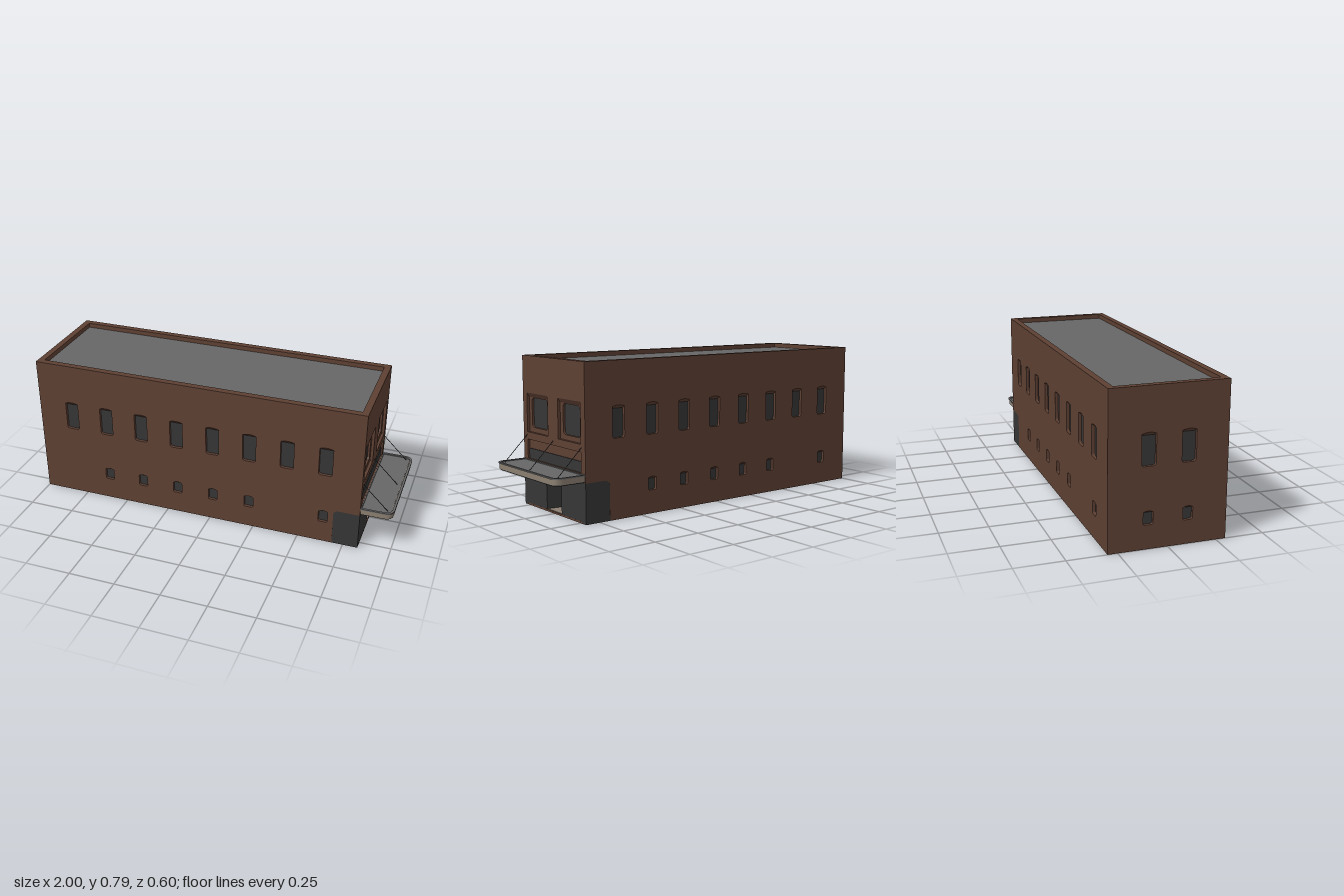
import * as THREE from 'three';

const mat = (name, color, side = THREE.DoubleSide) => {
  const m = new THREE.MeshStandardMaterial({ color, side });
  m.name = name;
  return m;
};

export function createModel() {
  const brick = mat('brick', 0x5e4033);
  const dark = mat('dark glass', 0x363636);
  const grey = mat('roof grey', 0x666666);
  const stone = mat('pale stone', 0x8a7e70);
  const model = new THREE.Group();
  model.name = 'brickHall';
  const THICK = 0.035;

  const add = (parent, name, geo, material, x = 0, y = 0, z = 0) => {
    const m = new THREE.Mesh(geo, material);
    m.name = name;
    m.position.set(x, y, z);
    parent.add(m);
    return m;
  };
  // box given by its lower and upper corners
  const box = (name, material, [x0, y0, z0], [x1, y1, z1], parent = model) =>
    add(parent, name, new THREE.BoxGeometry(x1 - x0, y1 - y0, z1 - z0), material,
      (x0 + x1) / 2, (y0 + y1) / 2, (z0 + z1) / 2);
  const extrude = (shape, depth) =>
    new THREE.ExtrudeGeometry(shape, { depth, bevelEnabled: false, curveSegments: 8 });

  const rect = (x0, y0, x1, y1) => new THREE.Shape([
    new THREE.Vector2(x0, y0), new THREE.Vector2(x1, y0),
    new THREE.Vector2(x1, y1), new THREE.Vector2(x0, y1)]);
  const rounded = (x0, y0, x1, y1, r) => {
    const s = new THREE.Shape();
    s.moveTo(x0 + r, y0).lineTo(x1 - r, y0).quadraticCurveTo(x1, y0, x1, y0 + r);
    s.lineTo(x1, y1 - r).quadraticCurveTo(x1, y1, x1 - r, y1);
    s.lineTo(x0 + r, y1).quadraticCurveTo(x0, y1, x0, y1 - r);
    s.lineTo(x0, y0 + r).quadraticCurveTo(x0, y0, x0 + r, y0);
    return s;
  };
  // window opening with a shallow arch and softened lower corners
  const arched = ({ u, w, y0, y1 }) => {
    const a = u - w / 2, b = u + w / 2, r = w * 0.2, s = new THREE.Shape();
    s.moveTo(a + r, y0).lineTo(b - r, y0).quadraticCurveTo(b, y0, b, y0 + r);
    s.lineTo(b, y1 - 0.007).quadraticCurveTo(u, y1 + 0.007, a, y1 - 0.007);
    s.lineTo(a, y0 + r).quadraticCurveTo(a, y0, a + r, y0);
    return s;
  };
  // sloping underside of the arch, from the wall face back to the glass
  const soffit = ({ u, w, y1 }, drop, depth) => {
    const g = new THREE.PlaneGeometry(w, 1, 8, 1), p = g.attributes.position;
    for (let i = 0; i < p.count; i++) {
      const t = p.getX(i) / (w / 2), outer = p.getY(i) > 0;
      p.setXYZ(i, u + p.getX(i), outer ? y1 - 0.007 * t * t : y1 - drop, outer ? 0 : -depth);
    }
    g.computeVertexNormals();
    return g;
  };
  // wall built in its own plane with the outside at local z = 0
  const wall = (name, outline, windows, angle, x, z) => {
    const g = new THREE.Group();
    g.name = name;
    windows.forEach(w => outline.holes.push(arched(w)));
    add(g, name + 'Brickwork', extrude(outline, THICK), brick, 0, 0, -THICK);
    for (const w of windows) {
      add(g, 'windowGlass', new THREE.ShapeGeometry(arched(w)), dark, 0, 0, -0.016);
      add(g, 'windowSoffit', soffit(w, w.w * 0.24, 0.0155), brick);
    }
    g.rotation.y = angle;
    g.position.set(x, 0, z);
    model.add(g);
    return g;
  };
  const tall = u => ({ u, w: 0.072, y0: 0.41, y1: 0.573 });
  const small = u => ({ u, w: 0.05, y0: 0.122, y1: 0.192 });

  // long walls, notched at the shopfront corner (d mirrors the outline)
  const longOutline = d => {
    const s = new THREE.Shape();
    s.moveTo(-d, 0).lineTo(0.69 * d, 0).lineTo(0.69 * d, 0.175);
    s.quadraticCurveTo(0.69 * d, 0.205, 0.72 * d, 0.205);
    s.lineTo(0.83 * d, 0.205).lineTo(0.83 * d, 0.793).lineTo(-d, 0.793).lineTo(-d, 0);
    return s;
  };
  const bays = Array.from({ length: 8 }, (_, i) => -0.805 + i * 0.2057);
  const longWindows = (d, skip) => [
    ...bays.map(x => tall(x * d)),
    ...bays.filter((_, i) => !skip.includes(i)).map(x => small(x * d))];
  wall('frontWall', longOutline(1), longWindows(1, [0, 6]), 0, 0, 0.3);
  wall('backWall', longOutline(-1), longWindows(-1, [1, 7]), Math.PI, 0, -0.3);

  // plain end wall
  wall('rightEndWall', rect(-0.265, 0, 0.265, 0.793),
    [-0.1, 0.1].flatMap(u => [tall(u), small(u)]), -Math.PI / 2, -1, 0);

  // entrance end wall with stepped window recesses and a sign band
  const endShape = rect(-0.265, 0.205, 0.265, 0.793);
  endShape.holes.push(rect(-0.26, 0.25, 0.26, 0.353));
  for (const s of [-1, 1]) endShape.holes.push(rect(s * 0.155 - 0.105, 0.392, s * 0.155 + 0.105, 0.598));
  const end = wall('entranceWall', endShape, [], Math.PI / 2, 0.83, 0);
  for (const s of [-1, 1]) {
    const u = s * 0.155;
    const frame = rect(u - 0.105, 0.392, u + 0.105, 0.598);
    frame.holes.push(rounded(u - 0.078, 0.418, u + 0.078, 0.573, 0.02));
    add(end, 'windowSurround', extrude(frame, 0.015), brick, 0, 0, -0.03);
    add(end, 'largeWindowGlass', new THREE.ShapeGeometry(rect(u - 0.085, 0.41, u + 0.085, 0.58)), dark, 0, 0, -0.026);
    const slope = add(end, 'largeWindowSoffit', new THREE.PlaneGeometry(0.21, 0.028), brick, u, 0.587, -0.0075);
    slope.rotation.x = Math.atan2(0.015, 0.022);
  }
  box('signBandBack', brick, [-0.26, 0.25, -0.03], [0.26, 0.353, -0.012], end);
  add(end, 'signBandGlass', extrude(rounded(-0.258, 0.22, 0.258, 0.305, 0.015), 0.004), dark, 0, 0, -0.012);

  // roof and floor
  box('roof', grey, [-0.966, 0.755, -0.266], [0.796, 0.768, 0.266]);
  box('floor', stone, [-0.966, 0.004, -0.266], [0.826, 0.012, 0.266]);

  // glazed shopfront wrapping both corners, with splayed sides to the recessed door
  for (const s of [-1, 1]) {
    const zs = (a, b) => [Math.min(s * a, s * b), Math.max(s * a, s * b)];
    const [a0, a1] = zs(0.264, 0.2995), [b0, b1] = zs(0.073, 0.264);
    box('cornerGlass', dark, [0.688, 0, a0], [0.83, 0.206, a1]);
    box('shopfrontGlass', dark, [0.81, 0, b0], [0.83, 0.206, b1]);
    const side = box('entranceSide', dark, [0.7, 0.008, s * 0.067 - 0.003], [0.83, 0.2, s * 0.067 + 0.003]);
    side.rotation.y = -s * 0.115;
  }
  box('door', brick, [0.69, 0.01, -0.07], [0.7, 0.2, 0.07]);
  box('entranceCeiling', dark, [0.69, 0.2, -0.264], [0.829, 0.209, 0.264]);
  box('threshold', brick, [0.822, 0, -0.265], [0.8305, 0.01, 0.265]);

  // canopy: plan outline with rounded outer corners, extruded upwards
  const plan = (x1, z, r) => {
    const s = new THREE.Shape();
    s.moveTo(0.83, -z).lineTo(x1 - r, -z).quadraticCurveTo(x1, -z, x1, -z + r);
    s.lineTo(x1, z - r).quadraticCurveTo(x1, z, x1 - r, z).lineTo(0.83, z);
    return s;
  };
  const layer = (name, material, shape, y, h) => {
    add(model, name, extrude(shape, h), material, 0, y, 0).rotation.x = -Math.PI / 2;
  };
  layer('canopyUnderside', dark, plan(0.994, 0.291, 0.045), 0.208, 0.005);
  layer('canopyFascia', stone, plan(0.996, 0.294, 0.045), 0.213, 0.028);
  layer('canopyTop', grey, plan(0.985, 0.285, 0.04), 0.241, 0.002);
  const rim = plan(1, 0.299, 0.05);
  rim.holes.push(plan(0.988, 0.287, 0.04));
  rim.holes[0].curves[0].v1.x = 0.835;
  rim.holes[0].curves.at(-1).v2.x = 0.835;
  layer('canopyRim', grey, rim, 0.241, 0.007);

  // tie rods holding the canopy
  for (const z of [-0.265, 0, 0.265]) {
    const path = new THREE.LineCurve3(new THREE.Vector3(0.828, 0.378, z), new THREE.Vector3(0.965, 0.243, z));
    add(model, 'canopyTieRod', new THREE.TubeGeometry(path, 1, 0.0018, 6), dark);
  }
  return model;
}
